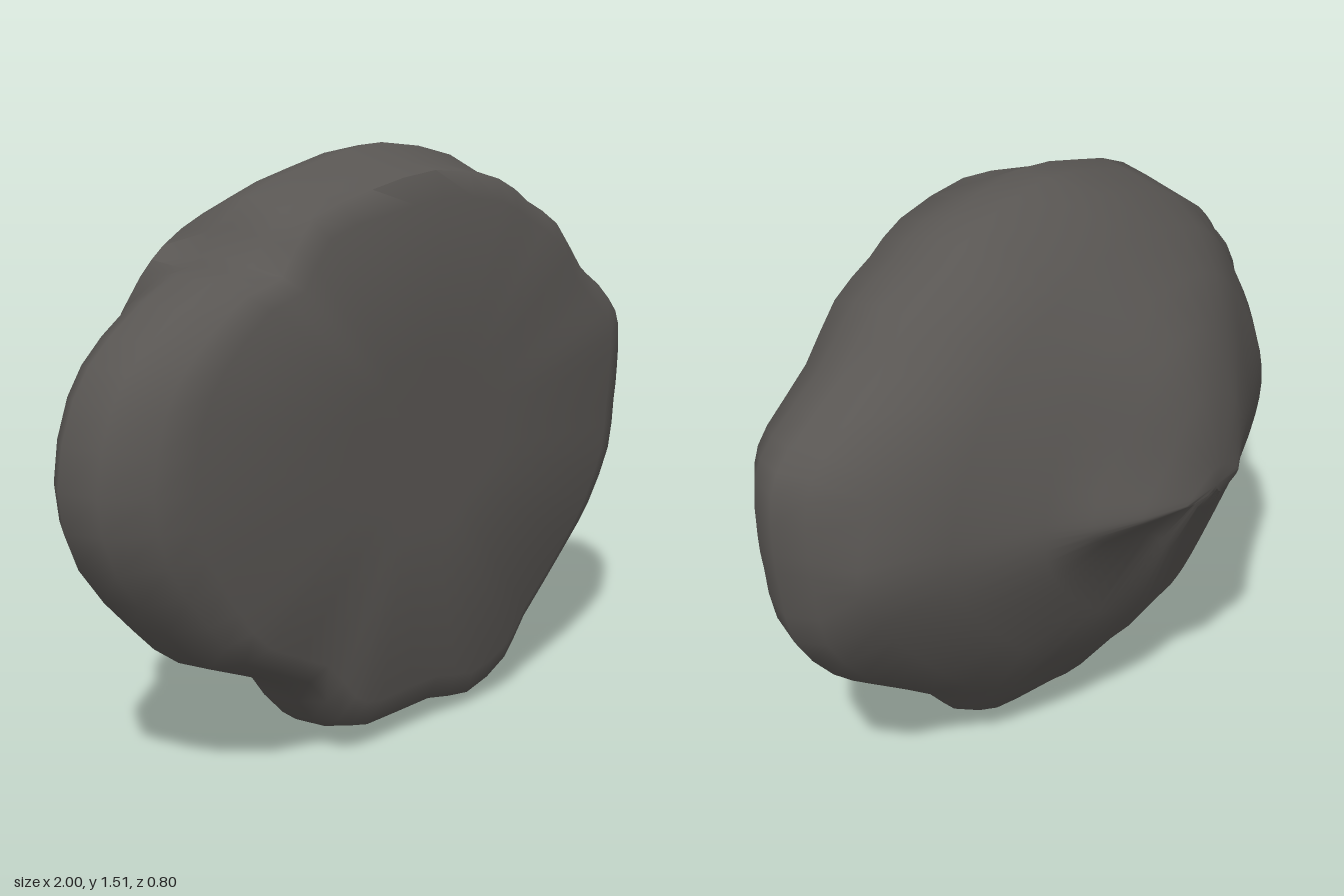
import * as THREE from 'three';
import { toCreasedNormals } from 'three/addons/utils/BufferGeometryUtils.js';

const CY = 0.77; // height of the boulder's axis

// widest outline, counter-clockwise from the +x end
const OUTLINE = [
  [1, 0.85], [0.99, 1], [0.92, 1.09], [0.74, 1.2], [0.6, 1.33], [0.45, 1.4], [0.32, 1.47],
  [0.05, 1.515], [-0.2, 1.475], [-0.42, 1.41], [-0.52, 1.28], [-0.65, 1.25], [-0.84, 1.13],
  [-0.95, 1], [-1, 0.8], [-0.95, 0.61], [-0.8, 0.43], [-0.66, 0.31], [-0.42, 0.21],
  [-0.31, 0.08], [-0.2, 0.03], [0.05, 0.03], [0.22, 0], [0.39, 0.06], [0.48, 0.16],
  [0.7, 0.32], [0.84, 0.43], [0.96, 0.59], [0.99, 0.75],
];

// flat front and rounded flank: z, then the share of the outline toward
// +x, top, -x, bottom, and the extra share on the diagonals
const FRONT = [
  [0.4, 0, 0, 0, 0, 0],
  [0.39, 0.3, 0.3, 0.3, 0.3, 0],
  [0.4, 0.77, 0.83, 0.79, 0.85, 0.05],
  [0.365, 0.86, 0.92, 0.88, 0.95, 0.03],
  [0.28, 0.95, 0.94, 0.97, 0.985, 0.01],
  [0.18, 1, 1, 1, 1, 0],
  [0.1, 0.97, 0.985, 0.95, 0.97, 0],
];

// back: z, then the radius every 45 degrees from +x; a slanted ridge crosses the peak
const BACK = [
  [0, 0.91, 0.76, 0.67, 0.74, 0.79, 0.65, 0.69, 0.7],
  [-0.1, 0.71, 0.62, 0.58, 0.66, 0.7, 0.57, 0.57, 0.57],
  [-0.2, 0.48, 0.45, 0.47, 0.54, 0.57, 0.45, 0.43, 0.41],
  [-0.28, 0.39, 0.31, 0.38, 0.39, 0.37, 0.29, 0.22, 0.18],
  [-0.35, 0.27, 0.19, 0.24, 0.23, 0.21, 0.14, 0.08, 0.07],
  [-0.4, 0.14, 0.06, 0.05, 0.06, 0.11, 0.04, 0.01, 0.02],
  [-0.4, 0, 0, 0, 0, 0, 0, 0, 0],
];

function boulderGeometry() {
  const closed = (points) => new THREE.CatmullRomCurve3(points, true, 'catmullrom', 0.5);
  const n = OUTLINE.length * 2;
  const outline = closed(OUTLINE.map(([x, y]) => new THREE.Vector3(x, y - CY, 0)));
  const rim = Array.from({ length: n }, (_, i) => outline.getPoint(i / n));
  const angles = rim.map((p) => (Math.atan2(p.y, p.x) + 2 * Math.PI) % (2 * Math.PI));
  const positions = [];

  // front loops follow the outline
  FRONT.forEach(([z, right, top, left, bottom, diagonal]) => rim.forEach((p, i) => {
    const c2 = Math.cos(angles[i]) ** 2;
    const s = (p.x > 0 ? right : left) * c2 + (p.y > 0 ? top : bottom) * (1 - c2)
      + diagonal * Math.sin(2 * angles[i]) ** 2;
    positions.push(p.x * s, CY + p.y * s, z);
  }));

  // back loops are smooth rings with shallow lumps
  BACK.forEach(([z, ...radii]) => {
    const ring = closed(radii.map((r, k) => new THREE.Vector3(
      r * Math.cos(k * Math.PI / 4), r * Math.sin(k * Math.PI / 4), 0)));
    angles.forEach((a) => {
      const p = ring.getPoint(a / (2 * Math.PI));
      const s = 1 + 0.012 * Math.sin(5 * a + z * 9) + 0.008 * Math.sin(8 * a - z * 14 + 1);
      positions.push(p.x * s, CY + p.y * s, z);
    });
  });

  // skin between neighbouring loops, closed to a point at both ends
  const index = [];
  const last = FRONT.length + BACK.length - 1;
  for (let k = 1; k <= last; k++) {
    for (let i = 0; i < n; i++) {
      const j = (i + 1) % n;
      const a = (k - 1) * n + i, b = (k - 1) * n + j, c = k * n + i, d = k * n + j;
      if (k < last) index.push(a, c, d);
      if (k > 1) index.push(a, d, b);
    }
  }

  const geometry = new THREE.BufferGeometry();
  geometry.setAttribute('position', new THREE.Float32BufferAttribute(positions, 3));
  geometry.setIndex(index);
  return toCreasedNormals(geometry, 0.9);
}

export function createModel() {
  const stone = new THREE.MeshStandardMaterial({ color: 0x595653 });
  stone.name = 'dark stone';

  const boulder = new THREE.Mesh(boulderGeometry(), stone);
  boulder.name = 'boulder';

  const group = new THREE.Group();
  group.name = 'halfBoulder';
  group.add(boulder);
  return group;
}
